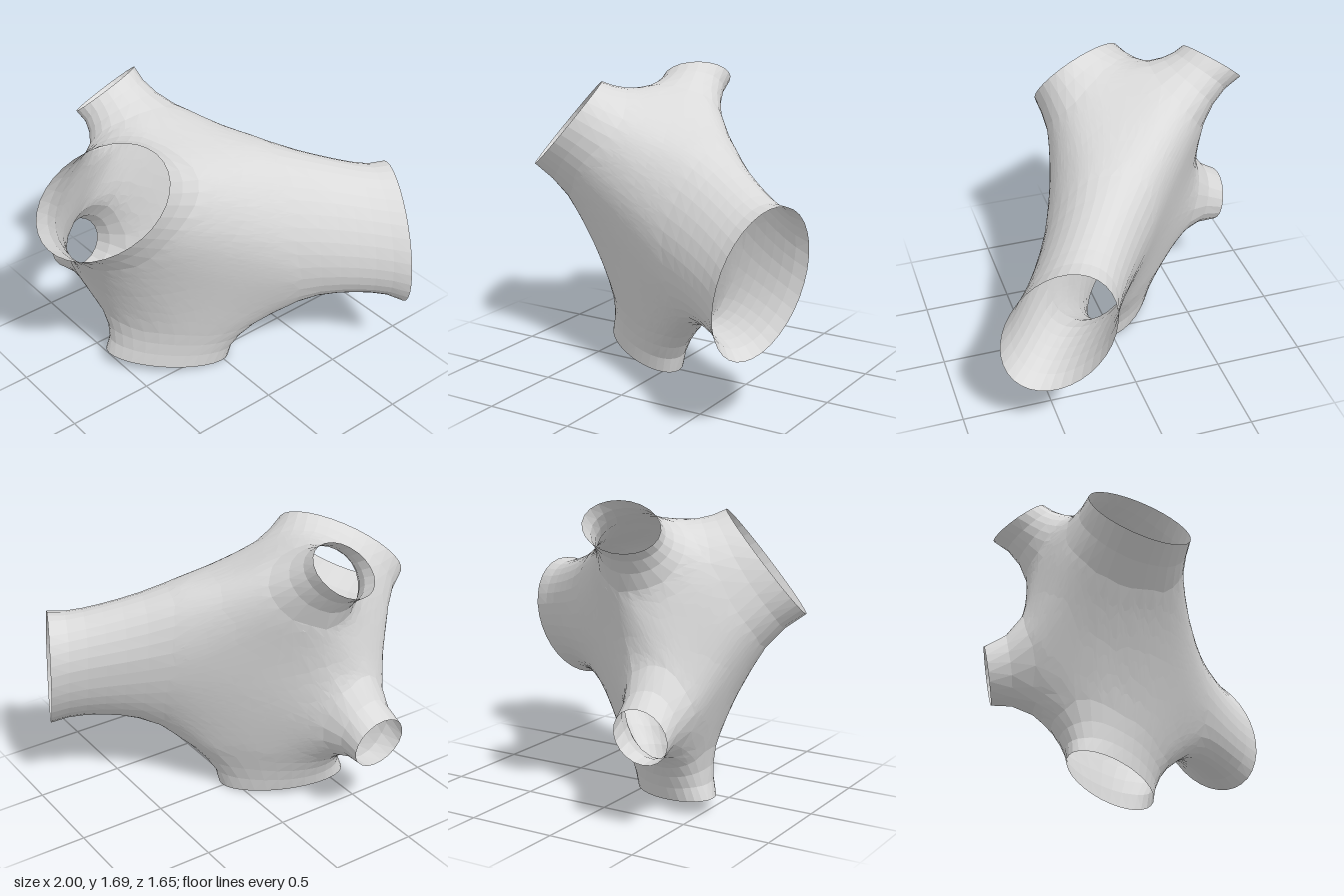
import * as THREE from 'three';
import { ConvexGeometry } from 'three/addons/geometries/ConvexGeometry.js';

// Branches: segment count, then for the open rim and the root ring
// the centre, the reach along x/y/z and the phase of y and z against x
const BRANCHES = [
  { n: 34,                                                   // wide side mouth
    rim: [[0.877, 0.79, 0.547], [0.122, 0.38, 0.278], 1.3, 3.24],
    root: [[0.41, 0.885, 0.22], [0.1, 0.45, 0.28], 1.3, 3.24] },
  { n: 32,                                                   // upper front mouth
    rim: [[-0.715, 1.355, -0.027], [0.285, 0.255, 0.285], 0.61, -1.0],
    root: [[-0.6, 1.28, -0.095], [0.265, 0.28, 0.32], 0.61, -1.0] },
  { n: 22,                                                   // upper back mouth
    rim: [[-0.23, 1.573, -0.67], [0.2, 0.117, 0.138], -1.15, -1.8],
    root: [[-0.21, 1.45, -0.49], [0.23, 0.17, 0.13], -1.35, -1.8] },
  { n: 20,                                                   // small back mouth
    rim: [[-0.42, 0.538, -0.799], [0.16, 0.152, 0.026], -1.57, 1.57],
    root: [[-0.41, 0.605, -0.62], [0.19, 0.24, 0.02], -1.57, 1.57] },
  { n: 30,                                                   // foot
    rim: [[-0.242, 0.045, -0.138], [0.313, 0.045, 0.242], 3.29, 0.9],
    root: [[-0.165, 0.25, -0.125], [0.36, 0.03, 0.31], 3.29, 0.9] },
];
const MAX_EDGE = 0.12;

function ring(n, [c, r, py, pz]) {
  return Array.from({ length: n }, (_, i) => {
    const t = (i / n) * Math.PI * 2;
    return new THREE.Vector3(
      c[0] + r[0] * Math.cos(t),
      c[1] + r[1] * Math.cos(t - py),
      c[2] + r[2] * Math.cos(t - pz));
  });
}

// Bands of faces from the root ring out to the rim
function addBranch({ n, rim, root }, rimStart, rootStart, points, faces) {
  const length = new THREE.Vector3(...rim[0]).distanceTo(new THREE.Vector3(...root[0]));
  const bands = Math.max(2, Math.ceil(length / 0.1));
  let inner = rootStart;
  for (let b = 1; b <= bands; b++) {
    let outer = rimStart;
    if (b < bands) {
      outer = points.length;
      for (let i = 0; i < n; i++) {
        points.push(points[rootStart + i].clone().lerp(points[rimStart + i], b / bands));
      }
    }
    for (let i = 0; i < n; i++) {
      const j = (i + 1) % n;
      faces.push([inner + i, inner + j, outer + j], [inner + i, outer + j, outer + i]);
    }
    inner = outer;
  }
}

// Hull around the root rings with the mouths left open
function openHull(roots, owner, offset) {
  const pos = new ConvexGeometry(roots).getAttribute('position');
  const v = new THREE.Vector3(), faces = [];
  const idAt = (i) => {
    v.fromBufferAttribute(pos, i);
    let best = 0, dist = Infinity;
    roots.forEach((p, k) => {
      const d = p.distanceToSquared(v);
      if (d < dist) { dist = d; best = k; }
    });
    return best;
  };
  for (let i = 0; i < pos.count; i += 3) {
    const f = [idAt(i), idAt(i + 1), idAt(i + 2)];
    const sameRing = owner[f[0]] === owner[f[1]] && owner[f[1]] === owner[f[2]];
    if (!sameRing) faces.push(f.map((k) => k + offset));
  }
  return faces;
}

// Split every long edge in half until the mesh is even
function refine(points, faces) {
  for (let pass = 0; pass < 6; pass++) {
    const mids = new Map(), out = [];
    const mid = (a, b) => {
      if (points[a].distanceTo(points[b]) <= MAX_EDGE) return -1;
      const key = a < b ? a + '_' + b : b + '_' + a;
      if (!mids.has(key)) {
        mids.set(key, points.length);
        points.push(points[a].clone().lerp(points[b], 0.5));
      }
      return mids.get(key);
    };
    for (const face of faces) {
      let [a, b, c] = face;
      let m = [mid(a, b), mid(b, c), mid(c, a)];
      const count = m.filter((k) => k >= 0).length;
      // turn the corner order so the split edges come first
      const turned = () => (count === 1 ? m[0] >= 0 : count === 2 ? m[1] < 0 : true);
      while (!turned()) {
        [a, b, c] = [b, c, a];
        m = [m[1], m[2], m[0]];
      }
      if (count === 0) out.push([a, b, c]);
      else if (count === 1) out.push([a, m[0], c], [m[0], b, c]);
      else if (count === 2) out.push([a, m[0], m[2]], [m[0], b, c], [m[0], c, m[2]]);
      else out.push([a, m[0], m[2]], [m[0], b, m[1]], [m[2], m[1], c], [m[0], m[1], m[2]]);
    }
    faces = out;
    if (mids.size === 0) break;
  }
  return faces;
}

// Edge weights: equal, or by the angles facing each edge as in a taut film
function edgeWeights(points, faces, taut) {
  const links = points.map(() => new Map());
  const e1 = new THREE.Vector3(), e2 = new THREE.Vector3(), cross = new THREE.Vector3();
  for (const f of faces) {
    for (let k = 0; k < 3; k++) {
      const o = f[k], i = f[(k + 1) % 3], j = f[(k + 2) % 3];
      let w = 0.5;
      if (taut) {
        e1.subVectors(points[i], points[o]);
        e2.subVectors(points[j], points[o]);
        w = 0.5 * e1.dot(e2) / Math.max(cross.crossVectors(e1, e2).length(), 1e-9);
      }
      links[i].set(j, (links[i].get(j) || 0) + w);
      links[j].set(i, (links[j].get(i) || 0) + w);
    }
  }
  return links.map((map) => [...map].map(([j, w]) => [j, Math.min(2, Math.max(0.1, w))]));
}

// Pull all points from index first onwards tight between the others
function relax(points, links, first, sweeps) {
  const sum = new THREE.Vector3();
  for (let s = 0; s < sweeps; s++) {
    for (let i = first; i < points.length; i++) {
      let total = 0;
      sum.set(0, 0, 0);
      for (const [j, w] of links[i]) {
        sum.addScaledVector(points[j], w);
        total += w;
      }
      if (total > 0) points[i].copy(sum.divideScalar(total));
    }
  }
}

export function createModel() {
  const rims = BRANCHES.flatMap((b) => ring(b.n, b.rim));
  const roots = BRANCHES.flatMap((b) => ring(b.n, b.root));
  const owner = BRANCHES.flatMap((b, id) => Array(b.n).fill(id));
  const points = [...rims, ...roots];

  // Branch tubes
  const faces = [];
  let start = 0;
  for (const b of BRANCHES) {
    addBranch(b, start, rims.length + start, points, faces);
    start += b.n;
  }

  // Taut core between the tubes
  const coreStart = points.length;
  const core = refine(points, openHull(roots, owner, rims.length));
  relax(points, edgeWeights(points, core, false), coreStart, 200);
  for (let i = 0; i < 5; i++) relax(points, edgeWeights(points, core, true), coreStart, 40);
  faces.push(...core);

  // Blend the tubes into the core, holding only the rims
  relax(points, edgeWeights(points, faces, true), rims.length, 5);

  const indexed = new THREE.BufferGeometry().setFromPoints(points);
  indexed.setIndex(faces.flat());
  const geometry = indexed.toNonIndexed();
  geometry.computeVertexNormals();

  const paleGrey = new THREE.MeshStandardMaterial({
    color: 0xdadada, flatShading: true, side: THREE.DoubleSide });
  paleGrey.name = 'paleGrey';

  const shell = new THREE.Mesh(geometry, paleGrey);
  shell.name = 'branchingShell';
  const group = new THREE.Group();
  group.name = 'fiveWayJunction';
  group.add(shell);
  return group;
}
